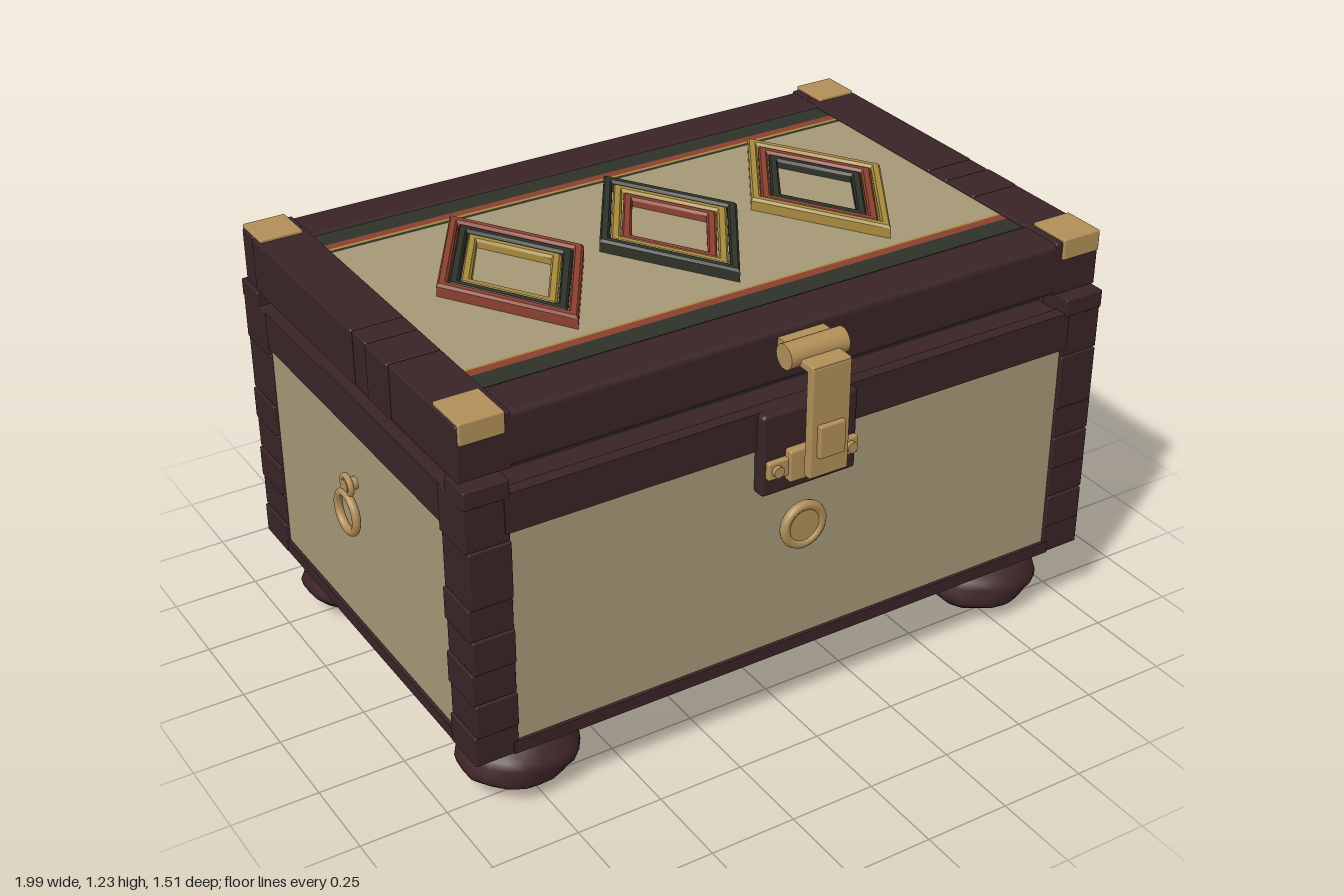
import * as THREE from 'three';
import { RoundedBoxGeometry } from 'three/addons/geometries/RoundedBoxGeometry.js';

const paint = (name, color) => {
  const m = new THREE.MeshStandardMaterial({ color });
  m.name = name;
  return m;
};

export function createModel() {
  const wood = paint('dark wood', 0x392426);
  const footWood = paint('foot wood', 0x402628);
  const cloth = paint('tan panel', 0xa59876);
  const brass = paint('brass', 0xb08e58);
  const green = paint('dark green', 0x2e3228);
  const red = paint('brick red', 0x8a402f);
  const gold = paint('old gold', 0xa6893c);

  const model = new THREE.Group();
  model.name = 'chest';
  const group = (name, parent = model) => {
    const g = new THREE.Group();
    g.name = name;
    parent.add(g);
    return g;
  };
  const add = (parent, name, geo, mat, x = 0, y = 0, z = 0) => {
    const m = new THREE.Mesh(geo, mat);
    m.name = name;
    m.position.set(x, y, z);
    parent.add(m);
    return m;
  };
  // Box given by its limits on each axis, optionally with rounded edges
  const box = (parent, name, mat, [x0, x1], [y0, y1], [z0, z1], r = 0) => {
    const s = [x1 - x0, y1 - y0, z1 - z0];
    const geo = r ? new RoundedBoxGeometry(...s, 2, r) : new THREE.BoxGeometry(...s);
    return add(parent, name, geo, mat, (x0 + x1) / 2, (y0 + y1) / 2, (z0 + z1) / 2);
  };
  // Cylinder lying along x
  const barrel = (parent, name, x0, x1, y, z, r) => {
    const geo = new THREE.CylinderGeometry(r, r, x1 - x0, 20).rotateZ(Math.PI / 2);
    return add(parent, name, geo, brass, (x0 + x1) / 2, y, z);
  };

  // Body: core, base board and recessed inner lip
  const body = group('body');
  box(body, 'core', wood, [-0.95, 0.975], [0.22, 0.995], [-0.66, 0.61]);
  box(body, 'baseBoard', wood, [-0.885, 0.91], [0.185, 0.225], [-0.575, 0.53]);
  box(body, 'innerLip', green, [-0.845, 0.87], [0.99, 1.045], [-0.56, 0.515]);

  // Cloth panels on the four sides
  const panelY = [0.255, 0.89];
  box(body, 'frontPanel', cloth, [-0.845, 0.87], panelY, [0.609, 0.617]);
  box(body, 'backPanel', cloth, [-0.845, 0.87], panelY, [-0.667, -0.659]);
  box(body, 'leftPanel', cloth, [0.974, 0.982], panelY, [-0.535, 0.49]);
  box(body, 'rightPanel', cloth, [-0.957, -0.949], panelY, [-0.535, 0.49]);

  // Rails above and below the panels
  for (const [name, y] of [['bottomRail', [0.22, 0.257]], ['topRail', [0.888, 1.0]]]) {
    box(body, name, wood, [-0.86, 0.885], y, [0.59, 0.627]);
    box(body, name, wood, [-0.86, 0.885], y, [-0.677, -0.64]);
    box(body, name, wood, [0.95, 0.992], y, [-0.55, 0.505]);
    box(body, name, wood, [-0.967, -0.93], y, [-0.55, 0.505]);
  }

  // Corner posts made of stacked blocks
  const seams = [0.22, 0.31, 0.41, 0.505, 0.605, 0.7, 0.865, 1.0];
  for (const [x0, x1, sx] of [[-0.97, -0.845, -1], [0.87, 0.995, 1]]) {
    for (const [z0, z1, sz] of [[0.49, 0.63, 1], [-0.68, -0.535, -1]]) {
      const post = group('cornerPost', body);
      for (let i = 0; i < seams.length - 1; i++) {
        const inset = i % 2 ? 0.006 : 0;
        box(post, 'postBlock', wood,
          [x0 + (sx < 0 ? inset : 0), x1 - (sx > 0 ? inset : 0)], [seams[i], seams[i + 1]],
          [z0 + (sz < 0 ? 0.006 - inset : 0), z1 - (sz > 0 ? 0.006 - inset : 0)], 0.004);
      }
      box(post, 'postTop', wood, [x0, x1], [0.99, 1.042], sz > 0 ? [0.53, 0.63] : [-0.68, -0.575], 0.004);
    }
  }

  // Lumpy bun feet
  for (const x of [-0.76, 0.785]) {
    for (const z of [0.455, -0.505]) {
      const geo = new THREE.SphereGeometry(1, 20, 14);
      const p = geo.attributes.position;
      const v = new THREE.Vector3();
      for (let i = 0; i < p.count; i++) {
        v.fromBufferAttribute(p, i);
        const k = 1 + 0.035 * Math.sin(5 * v.x + 3 * x) * Math.cos(6 * v.z + z) + 0.025 * Math.sin(9 * v.y + 4 * v.x);
        p.setXYZ(i, v.x * k * 0.174, v.y * k * 0.098, v.z * k * 0.147);
      }
      geo.computeVertexNormals();
      add(body, 'foot', geo, footWood, x, 0.1, z);
    }
  }

  // Lid: core, long rails and end planks
  const lid = group('lid');
  box(lid, 'lidCore', wood, [-0.95, 0.97], [1.05, 1.19], [-0.63, 0.585]);
  box(lid, 'frontRail', wood, [-0.9, 0.92], [1.05, 1.205], [0.455, 0.6], 0.018);
  box(lid, 'backRail', wood, [-0.9, 0.92], [1.05, 1.205], [-0.645, -0.51], 0.018);
  const ends = [-0.645, -0.575, 0.04, 0.12, 0.245, 0.6];
  for (let i = 0; i < ends.length - 1; i++) {
    const d = i % 2 ? 0 : 0.003;
    const z = [ends[i], ends[i + 1]];
    box(lid, 'endPlank', wood, [-0.97 + d, -0.82], [1.05, 1.208], z, 0.006);
    box(lid, 'endPlank', wood, [0.84, 0.992 - d], [1.05, 1.208], z, 0.006);
  }

  // Lid top: cloth field with coloured stripes along its long edges
  const stripe = (name, mat, z0, z1) => box(lid, name, mat, [-0.82, 0.84], [1.19, 1.199], [z0, z1]);
  stripe('topPanel', cloth, -0.395, 0.355);
  stripe('greenStripe', green, -0.512, -0.445);
  stripe('redStripe', red, -0.445, -0.418);
  stripe('goldStripe', gold, -0.418, -0.408);
  stripe('greenLine', green, -0.408, -0.395);
  stripe('greenStripe', green, 0.39, 0.457);
  stripe('redStripe', red, 0.362, 0.39);
  stripe('goldStripe', gold, 0.355, 0.362);

  // Raised ornaments of three nested diamond rings
  const diamond = (Kind, a) => {
    const s = new Kind();
    s.moveTo(a, 0).lineTo(0, a * 1.6).lineTo(-a, 0).lineTo(0, -a * 1.6).closePath();
    return s;
  };
  [[-0.475, [red, green, gold]], [0.01, [green, gold, red]], [0.495, [gold, red, green]]].forEach(([x, mats]) => {
    const ornament = group('diamondOrnament', lid);
    mats.forEach((mat, i) => {
      const shape = diamond(THREE.Shape, 0.212 - i * 0.034);
      shape.holes.push(diamond(THREE.Path, 0.194 - i * 0.034));
      const geo = new THREE.ExtrudeGeometry(shape, {
        depth: 0.029 - i * 0.005, bevelThickness: 0.008, bevelSize: 0.006, bevelSegments: 1,
      }).rotateX(-Math.PI / 2);
      add(ornament, 'diamondRing', geo, mat, x, 1.198, -0.025);
    });
  });

  // Brass caps on the lid corners
  for (const x of [[-0.962, -0.838], [0.862, 0.985]]) {
    for (const z of [[0.475, 0.608], [-0.652, -0.53]]) {
      box(lid, 'cornerCap', brass, x, [1.155, 1.217], z, 0.005);
    }
  }

  // Front latch: dark plate, catch, hanging strap and pin
  const latch = group('latch');
  box(latch, 'latchPlate', wood, [-0.135, 0.16], [0.76, 1.0], [0.61, 0.655], 0.012);
  box(latch, 'catchBar', brass, [-0.125, 0.155], [0.815, 0.868], [0.65, 0.67], 0.006);
  box(latch, 'catchBlock', brass, [-0.065, 0.085], [0.798, 0.89], [0.65, 0.68], 0.006);
  for (const x of [-0.1, 0.13]) {
    add(latch, 'rivet', new THREE.CylinderGeometry(0.016, 0.016, 0.02, 12).rotateX(Math.PI / 2), brass, x, 0.842, 0.672);
  }
  box(latch, 'strap', brass, [-0.05, 0.07], [0.835, 1.155], [0.714, 0.742], 0.006);
  box(latch, 'strapTop', brass, [-0.05, 0.07], [1.135, 1.16], [0.65, 0.74], 0.006);
  box(latch, 'strapBoss', brass, [-0.03, 0.05], [0.895, 0.99], [0.735, 0.756], 0.005);
  barrel(latch, 'latchPin', -0.078, 0.1, 1.16, 0.655, 0.035);
  box(latch, 'pinBracket', brass, [-0.06, 0.08], [1.135, 1.185], [0.59, 0.65]);

  // Round front knob with rim
  const knob = group('frontKnob');
  add(knob, 'knobRim', new THREE.TorusGeometry(0.058, 0.014, 10, 32), brass, 0.01, 0.625, 0.638);
  add(knob, 'knobDisc', new THREE.CylinderGeometry(0.055, 0.055, 0.03, 32).rotateX(Math.PI / 2), brass, 0.01, 0.625, 0.63);

  // Pull ring on the right side
  const pull = group('sidePull');
  add(pull, 'pullRing', new THREE.TorusGeometry(0.056, 0.012, 10, 32).rotateY(Math.PI / 2), brass, -0.987, 0.638, -0.03);
  add(pull, 'pullEye', new THREE.TorusGeometry(0.026, 0.009, 8, 20).rotateY(Math.PI / 2), brass, -0.982, 0.72, -0.03);
  add(pull, 'pullStud', new THREE.CylinderGeometry(0.018, 0.018, 0.04, 14).rotateZ(Math.PI / 2), brass, -0.97, 0.72, -0.03);

  // Back hinges
  for (const x of [-0.585, 0.603]) {
    const hinge = group('hinge');
    barrel(hinge, 'hingeBarrel', x - 0.108, x + 0.108, 1.045, -0.722, 0.037);
    box(hinge, 'upperLeaf', brass, [x - 0.068, x + 0.068], [1.05, 1.137], [-0.725, -0.64], 0.006);
    box(hinge, 'lowerLeaf', brass, [x - 0.068, x + 0.068], [0.812, 1.04], [-0.705, -0.672], 0.008);
  }
  return model;
}
